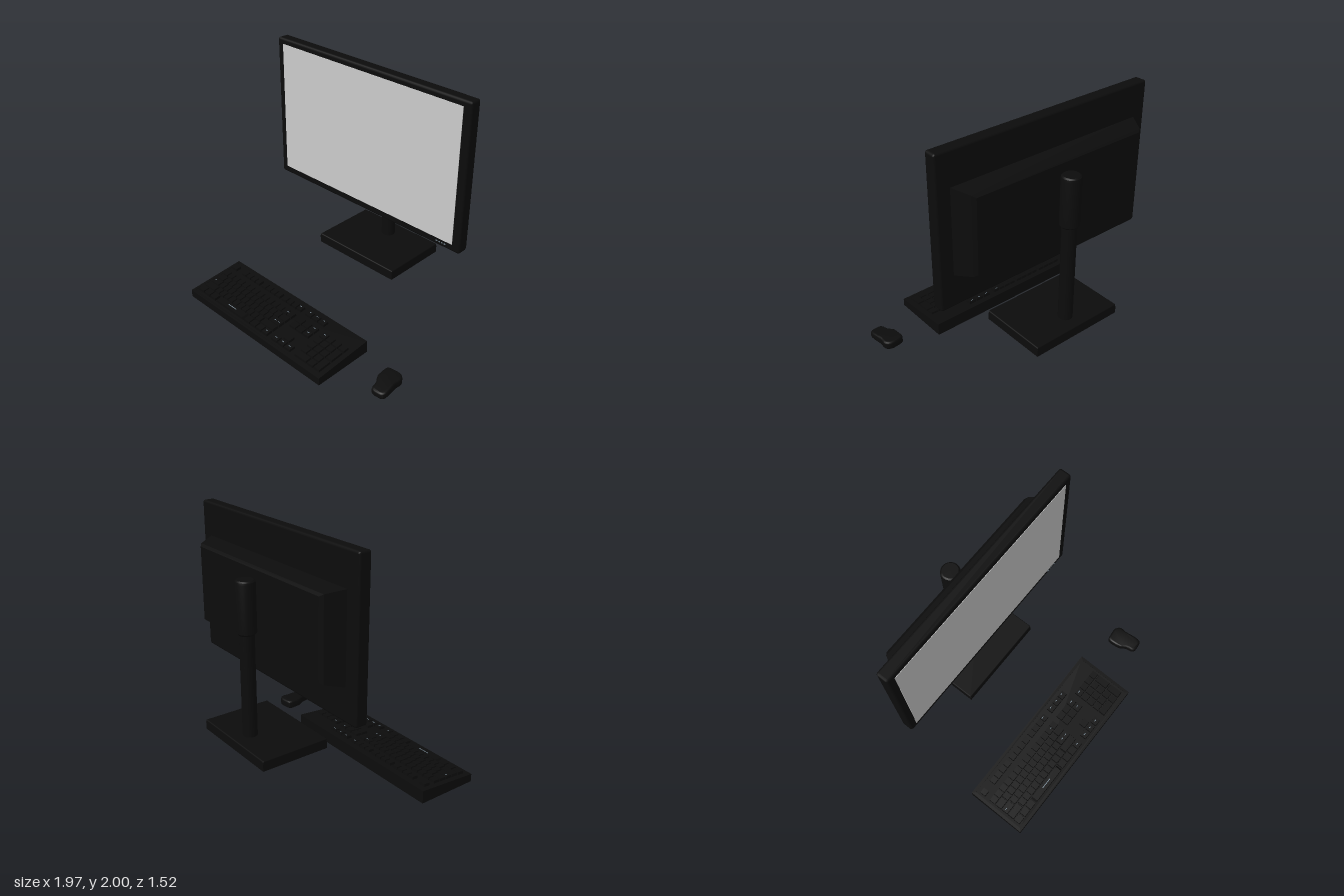
import * as THREE from 'three';
import { toCreasedNormals } from 'three/addons/utils/BufferGeometryUtils.js';
import { RoundedBoxGeometry } from 'three/addons/geometries/RoundedBoxGeometry.js';

const flat = (name, color) => {
  const m = new THREE.MeshStandardMaterial({ color });
  m.name = name;
  return m;
};

// Move every vertex by a rule, then rebuild faceted normals
function reshape(geometry, rule) {
  const g = geometry.index ? geometry.toNonIndexed() : geometry;
  const p = g.attributes.position, v = new THREE.Vector3();
  for (let i = 0; i < p.count; i++) {
    rule(v.fromBufferAttribute(p, i));
    p.setXYZ(i, v.x, v.y, v.z);
  }
  g.computeVertexNormals();
  return g;
}

// Rectangular wall, open above and below, standing on y = 0
function rim(w, d, h, wall) {
  const rect = (C, a, b) => new C([[-a, -b], [a, -b], [a, b], [-a, b]].map(([x, y]) => new THREE.Vector2(x, y)));
  const s = rect(THREE.Shape, w / 2, d / 2);
  s.holes.push(rect(THREE.Path, w / 2 - wall, d / 2 - wall));
  return new THREE.ExtrudeGeometry(s, { depth: h, bevelEnabled: false }).rotateX(-Math.PI / 2);
}

export function createModel() {
  const root = new THREE.Group();
  root.name = 'desktopSet';
  const black = flat('blackPlastic', 0x0c0c0c);
  const glass = flat('screenGrey', 0xcccccc);
  const mark = flat('paleMark', 0x8496a3);

  const group = (name) => {
    const g = new THREE.Group();
    g.name = name;
    root.add(g);
    return g;
  };
  const add = (parent, name, geometry, material, x = 0, y = 0, z = 0) => {
    const m = new THREE.Mesh(geometry, material);
    m.name = name;
    m.position.set(x, y, z);
    parent.add(m);
  };

  // Monitor: bevelled panel, screen plate and control marks
  const monitor = group('monitor');
  add(monitor, 'panel', new RoundedBoxGeometry(1.89, 1.19, 0.1, 1, 0.018), black, -0.025, 1.405, -0.341);
  add(monitor, 'screen', new THREE.BoxGeometry(1.765, 1.085, 0.006), glass, -0.0275, 1.4125, -0.291);
  for (let i = 0; i < 4; i++)
    add(monitor, 'controlMark', new THREE.BoxGeometry(0.014, 0.008, 0.003), mark, 0.715 + i * 0.025, 0.845, -0.2905);

  // Rear housing tapers backwards and ends in a chamfer
  const sections = [
    { z: -0.54, w: 0.74, y0: 1.11, y1: 1.695 },
    { z: -0.52, w: 0.765, y0: 1.095, y1: 1.712 },
    { z: -0.385, w: 0.837, y0: 1.068, y1: 1.74 },
  ];
  const housing = reshape(new THREE.BoxGeometry(2, 2, 2, 1, 1, 2), (v) => {
    const s = sections[Math.round(v.z) + 1];
    v.set(-0.025 + v.x * s.w, v.y > 0 ? s.y1 : s.y0, s.z);
  });
  add(monitor, 'rearHousing', housing, black);

  // Stand: column, sleeve and hollow foot
  const stand = group('stand');
  add(stand, 'column', new THREE.CylinderGeometry(0.056, 0.056, 0.9, 32), black, -0.028, 0.83, -0.615);
  const profile = [[0, 1.235], [0.062, 1.235], [0.074, 1.25], [0.074, 1.61], [0.071, 1.626], [0.06, 1.635], [0, 1.635]];
  const sleeve = new THREE.LatheGeometry(profile.map(([x, y]) => new THREE.Vector2(x, y)), 32);
  add(stand, 'sleeve', toCreasedNormals(sleeve, 0.6), black, -0.028, 0, -0.615);
  add(stand, 'footTop', new RoundedBoxGeometry(0.795, 0.035, 0.56, 1, 0.008), black, -0.0225, 0.4225, -0.48);
  add(stand, 'footRim', rim(0.795, 0.56, 0.06, 0.03), black, -0.0225, 0.36, -0.48);

  // Keyboard: sloping hollow case
  const keyboard = group('keyboard');
  const deckY = (z) => 0.105 - (z - 0.25) * 0.08;
  const caseRim = reshape(rim(1.52, 0.51, 1, 0.025).translate(-0.225, 0, 0.505), (v) => { v.y *= deckY(v.z); });
  add(keyboard, 'caseRim', caseRim, black);
  const deck = reshape(new THREE.BoxGeometry(1.5, 0.02, 0.49).translate(-0.225, -0.012, 0.505), (v) => { v.y += deckY(v.z); });
  add(keyboard, 'deck', deck, black);

  // Key with a tapered top that follows the deck
  const key = (x0, x1, z0, z1, rise = 0.019, name = 'key') => {
    const gap = 0.003, w = x1 - x0 - gap * 2, d = z1 - z0 - gap * 2;
    const cx = (x0 + x1) / 2, cz = (z0 + z1) / 2;
    const g = reshape(new THREE.BoxGeometry(w, rise + 0.008, d), (v) => {
      const top = v.y > 0, k = top ? 0.9 : 1;
      v.set(cx + v.x * k, 0, cz + v.z * k);
      v.y = deckY(v.z) + (top ? rise : -0.008);
    });
    add(keyboard, name, g, black);
  };
  const row = (x0, x1, count, z0, z1, rise) => {
    const w = (x1 - x0) / count;
    for (let i = 0; i < count; i++) key(x0 + i * w, x0 + (i + 1) * w, z0, z1, rise);
  };
  const rowZ = (r) => 0.4 + r * 0.064;

  // Rearmost row
  key(-0.945, -0.885, 0.3, 0.36);
  for (let i = 0; i < 3; i++) row(-0.82 + i * 0.252, -0.586 + i * 0.252, 4, 0.3, 0.36);
  row(-0.04, 0.18, 3, 0.3, 0.36);

  // Main block: first and last keys of each row have their own widths
  [[0, 0, 14], [0.09, 0.085, 12], [0.105, 0.13, 11], [0.135, 0.16, 10]].forEach(([a, b, count], r) => {
    const z0 = rowZ(r), z1 = rowZ(r + 1);
    if (a) key(-0.945, -0.945 + a, z0, z1);
    row(-0.945 + a, -0.08 - b, count, z0, z1);
    if (b) key(-0.08 - b, -0.08, z0, z1);
  });
  row(-0.945, -0.72, 3, rowZ(4), rowZ(5));
  key(-0.72, -0.36, rowZ(4), rowZ(5), 0.019, 'spaceBar');
  row(-0.36, -0.08, 4, rowZ(4), rowZ(5));

  // Navigation keys and arrows
  for (const r of [0, 1, 4]) row(-0.04, 0.18, 3, rowZ(r), rowZ(r + 1), 0.017);
  key(0.033, 0.107, rowZ(3), rowZ(4), 0.017);

  // Number pad
  for (let r = 0; r < 4; r++) row(0.225, 0.4275, 3, rowZ(r), rowZ(r + 1), 0.016);
  key(0.225, 0.36, rowZ(4), rowZ(5), 0.016);
  key(0.36, 0.4275, rowZ(4), rowZ(5), 0.016);
  [[0, 1], [1, 3], [3, 5]].forEach(([a, b]) => key(0.4275, 0.495, rowZ(a), rowZ(b), 0.016));

  // Small pale dashes on a few keys
  const dashes = [[-0.006, 0.32], [0.07, 0.32], [0.145, 0.32], [-0.12, 0.32], [-0.15, 0.43], [0.26, 0.425],
    [0.145, 0.425], [0.145, 0.49], [-0.155, 0.56], [-0.115, 0.56], [-0.006, 0.685], [0.07, 0.685], [0.145, 0.685],
    [-0.115, 0.685], [-0.915, 0.555]];
  for (const [x, z] of dashes)
    add(keyboard, 'keyDash', new THREE.BoxGeometry(0.02, 0.002, 0.005), mark, x, deckY(z) + 0.0185, z);
  add(keyboard, 'spaceBarDash', new THREE.BoxGeometry(0.1, 0.002, 0.006), mark, -0.54, deckY(0.685) + 0.0185, 0.685);

  // Mouse: waisted outline with a rounded top that drops at the front
  const outline = [[0.83, 0.345], [0.875, 0.333], [0.935, 0.332], [0.965, 0.36], [0.962, 0.42], [0.972, 0.49],
    [0.97, 0.555], [0.925, 0.567], [0.882, 0.562], [0.866, 0.5], [0.835, 0.45], [0.828, 0.4]];
  const curve = new THREE.CatmullRomCurve3(outline.map(([x, z]) => new THREE.Vector3(x, -z, 0)), true);
  const shape = new THREE.Shape(curve.getPoints(36).slice(0, -1).map((p) => new THREE.Vector2(p.x, p.y)));
  const body = new THREE.ExtrudeGeometry(shape, {
    depth: 0.038, bevelThickness: 0.016, bevelSize: 0.016, bevelOffset: -0.006, bevelSegments: 4,
  }).rotateX(-Math.PI / 2).translate(0, 0.036, 0);
  const shell = reshape(body, (v) => {
    if (v.y > 0.05) v.y -= Math.max(0, v.z - 0.45) * 0.12;
  });
  add(group('mouse'), 'mouseBody', toCreasedNormals(shell, 0.7), black);

  return root;
}
